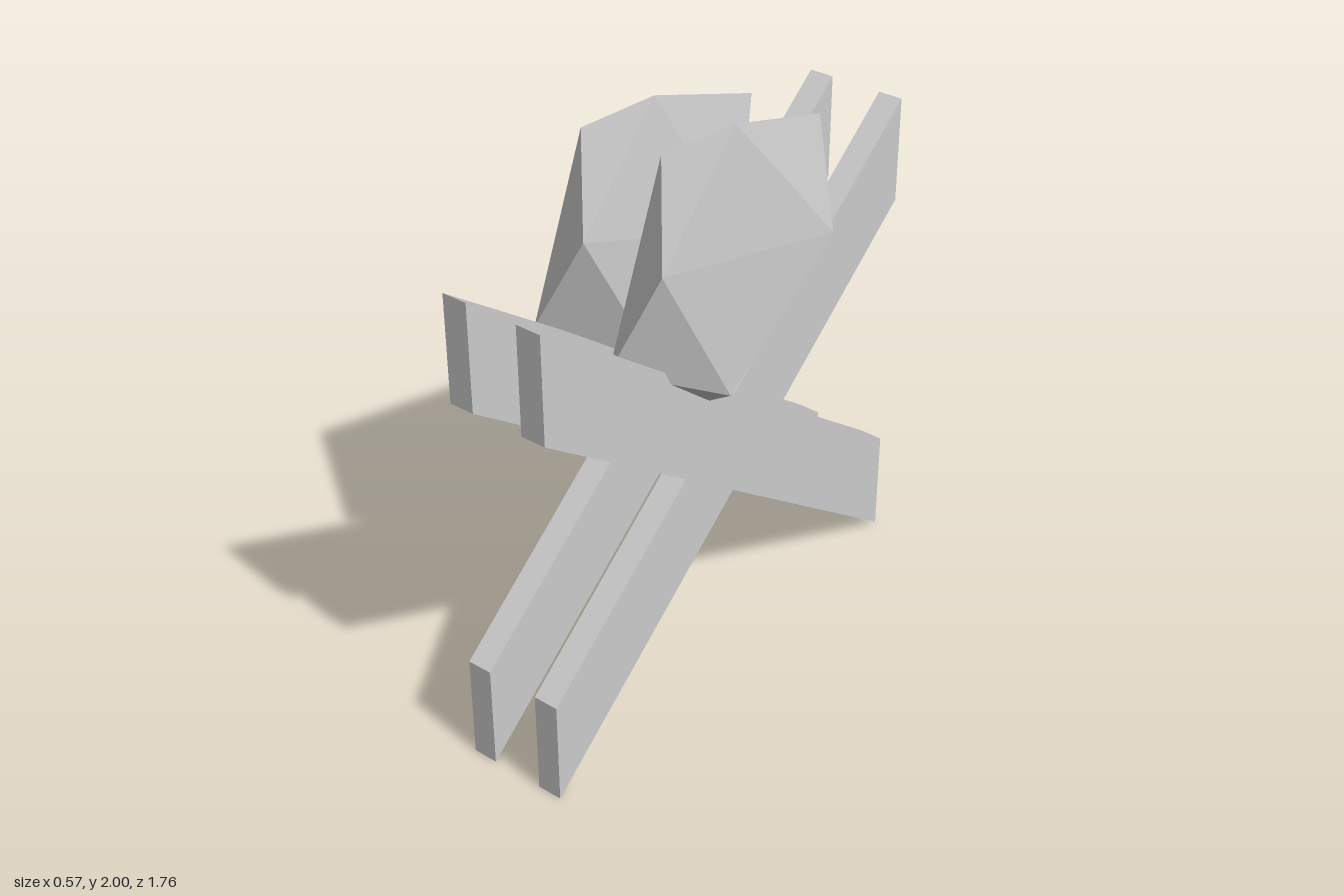
import * as THREE from 'three';
import { ConvexGeometry } from 'three/addons/geometries/ConvexGeometry.js';

const material = new THREE.MeshStandardMaterial({ color: 0xcccccc, flatShading: true });

// Cross-shaped side frame, extruded along x from x0
function crossFrame(x0, name) {
  const w = 0.88;
  const half = [[0, 0.665], [w, 0], [w, 0.37], [0.245, 0.85], [w, 1.33], [w, 1.695], [0, 1.035]];
  const mirrored = half.slice(1, -1).reverse().map(([z, y]) => [-z, y]);
  const shape = new THREE.Shape([...half, ...mirrored].map(([z, y]) => new THREE.Vector2(-z, y)));
  const geometry = new THREE.ExtrudeGeometry(shape, { depth: 0.085, bevelEnabled: false });
  geometry.rotateY(Math.PI / 2).translate(x0, 0, 0);
  const mesh = new THREE.Mesh(geometry, material);
  mesh.name = name;
  return mesh;
}

// Faceted flat boulder as the hull of its corners
function boulder(corners, name) {
  const mesh = new THREE.Mesh(new ConvexGeometry(corners.map((c) => new THREE.Vector3(...c))), material);
  mesh.name = name;
  return mesh;
}

export function createModel() {
  const group = new THREE.Group();
  group.name = 'boulderStand';

  group.add(crossFrame(-0.15, 'rightCrossFrame'), crossFrame(0.115, 'leftCrossFrame'));

  group.add(boulder([
    [-0.055, 2, 0.065], [-0.22, 1.9, 0.2], [-0.09, 1.79, -0.465], [-0.035, 1.68, 0.42],
    [-0.285, 1.57, 0.04], [0.02, 1.43, -0.26], [-0.2, 1.355, 0.46], [-0.2, 1.24, -0.405],
    [-0.005, 1.125, 0.12], [-0.18, 1.025, 0.12],
  ], 'rightBoulder'));

  group.add(boulder([
    [0.237, 2, 0.065], [0.068, 1.9, 0.19], [0.157, 1.79, -0.48], [0.262, 1.68, 0.435],
    [0.01, 1.57, -0.055], [0.282, 1.46, -0.39], [0.12, 1.345, 0.505], [0.075, 1.24, -0.35],
    [0.28, 1.13, 0.13], [0.115, 1.025, 0.13],
  ], 'leftBoulder'));

  return group;
}
